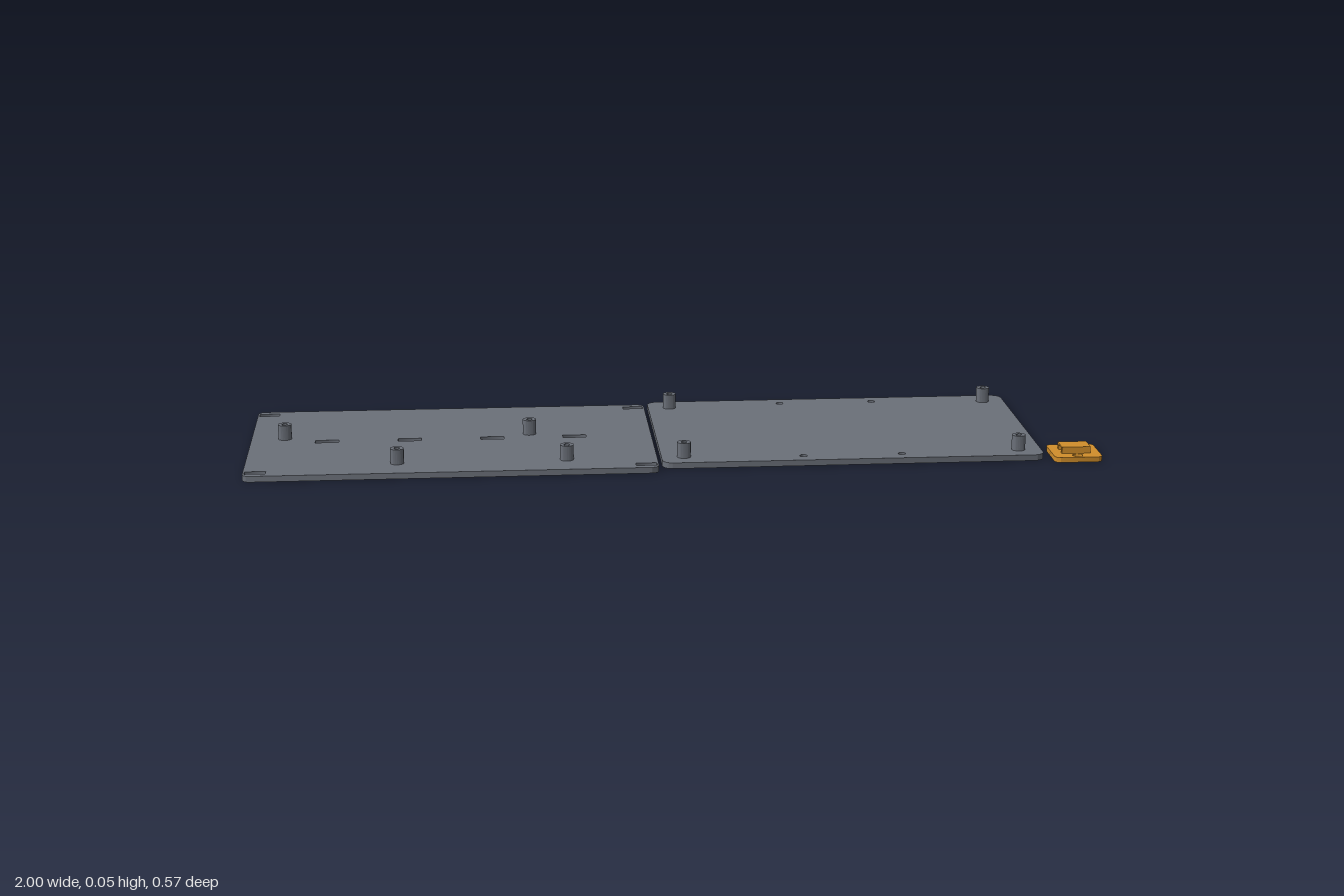
import * as THREE from 'three';
import { toCreasedNormals } from 'three/addons/utils/BufferGeometryUtils.js';

const grey = new THREE.MeshStandardMaterial({ color: 0x6b7079 });
grey.name = 'slate grey';
const amber = new THREE.MeshStandardMaterial({ color: 0xd28f2b });
amber.name = 'amber';

// Outlines are drawn in plan: x stays x, shape y is -z.
function roundedRect(x0, x1, z0, z1, r, path = new THREE.Shape()) {
  const a = -z1, b = -z0;
  path.moveTo(x0 + r, a);
  path.lineTo(x1 - r, a);
  path.absarc(x1 - r, a + r, r, -Math.PI / 2, 0);
  path.lineTo(x1, b - r);
  path.absarc(x1 - r, b - r, r, 0, Math.PI / 2);
  path.lineTo(x0 + r, b);
  path.absarc(x0 + r, b - r, r, Math.PI / 2, Math.PI);
  path.lineTo(x0, a + r);
  path.absarc(x0 + r, a + r, r, Math.PI, Math.PI * 1.5);
  return path;
}

function slot(x0, x1, z0, z1) {
  return roundedRect(x0, x1, z0, z1, 0.002, new THREE.Path());
}

function hole(x, z, r) {
  return new THREE.Path().absarc(x, -z, r, 0, Math.PI * 2, true);
}

// Extrude a plan outline upwards from height y.
function slab(name, shape, holes, y, height, material) {
  shape.holes.push(...holes);
  const flat = new THREE.ExtrudeGeometry(shape, { depth: height, bevelEnabled: false, curveSegments: 12 });
  flat.rotateX(-Math.PI / 2);
  const mesh = new THREE.Mesh(toCreasedNormals(flat, 0.7), material);
  mesh.position.y = y;
  mesh.name = name;
  return mesh;
}

function box(name, x0, x1, y0, y1, z0, z1, material) {
  const mesh = new THREE.Mesh(new THREE.BoxGeometry(x1 - x0, y1 - y0, z1 - z0), material);
  mesh.position.set((x0 + x1) / 2, (y0 + y1) / 2, (z0 + z1) / 2);
  mesh.name = name;
  return mesh;
}

const T = 0.014; // plate thickness

// Hollow screw post standing on a plate
function standoff(x, z) {
  const ring = new THREE.Shape().absarc(0, 0, 0.016, 0, Math.PI * 2);
  const post = slab('standoff', ring, [hole(0, 0, 0.007)], T, 0.05 - T, grey);
  post.position.x = x;
  post.position.z = z;
  return post;
}

function slottedPlate() {
  const g = new THREE.Group();
  g.name = 'slottedPlate';
  const x0 = -1, x1 = -0.043, z0 = -0.266, z1 = 0.287;
  const cuts = [];
  // Strap slots along the middle
  for (let i = 0; i < 4; i++) {
    const x = -0.819 + i * 0.197;
    cuts.push(slot(x - 0.028, x + 0.028, -0.001, 0.02));
  }
  // Slots at the four corners
  for (const z of [-0.238, 0.259]) {
    cuts.push(slot(x0 + 0.004, x0 + 0.053, z - 0.0095, z + 0.0095));
    cuts.push(slot(x1 - 0.053, x1 - 0.004, z - 0.0095, z + 0.0095));
  }
  g.add(slab('slottedBase', roundedRect(x0, x1, z0, z1, 0.018), cuts, 0, T, grey));
  for (const [x, z] of [[-0.92, -0.022], [-0.335, -0.022], [-0.648, 0.205], [-0.254, 0.205]]) g.add(standoff(x, z));
  return g;
}

function mountingPlate() {
  const g = new THREE.Group();
  g.name = 'mountingPlate';
  const cuts = [];
  for (const x of [0.3, 0.533]) for (const z of [-0.251, 0.219]) cuts.push(hole(x, z, 0.009));
  g.add(slab('mountingBase', roundedRect(-0.033, 0.867, -0.287, 0.255, 0.025), cuts, 0, T, grey));
  for (const x of [0.02, 0.813]) for (const z of [-0.232, 0.205]) g.add(standoff(x, z));
  return g;
}

function cableClip() {
  const g = new THREE.Group();
  g.name = 'cableClip';
  const cx = 0.943, cz = 0.221;
  const cuts = [hole(cx, cz - 0.038, 0.012), hole(cx, cz + 0.038, 0.012)];
  g.add(slab('clipBase', roundedRect(0.887, 1, cz - 0.056, cz + 0.056, 0.014), cuts, 0, 0.012, amber));
  // Bridge: two walls and a thin roof with an open tunnel along x
  const x0 = cx - 0.034, x1 = cx + 0.034;
  for (const s of [-1, 1]) {
    const z = cz + s * 0.0185;
    g.add(box('clipWall', x0, x1, 0.012, 0.024, z - 0.005, z + 0.005, amber));
  }
  g.add(box('clipRoof', x0, x1, 0.024, 0.028, cz - 0.0235, cz + 0.0235, amber));
  return g;
}

export function createModel() {
  const model = new THREE.Group();
  model.name = 'mountingPlateSet';
  model.add(slottedPlate(), mountingPlate(), cableClip());
  return model;
}
